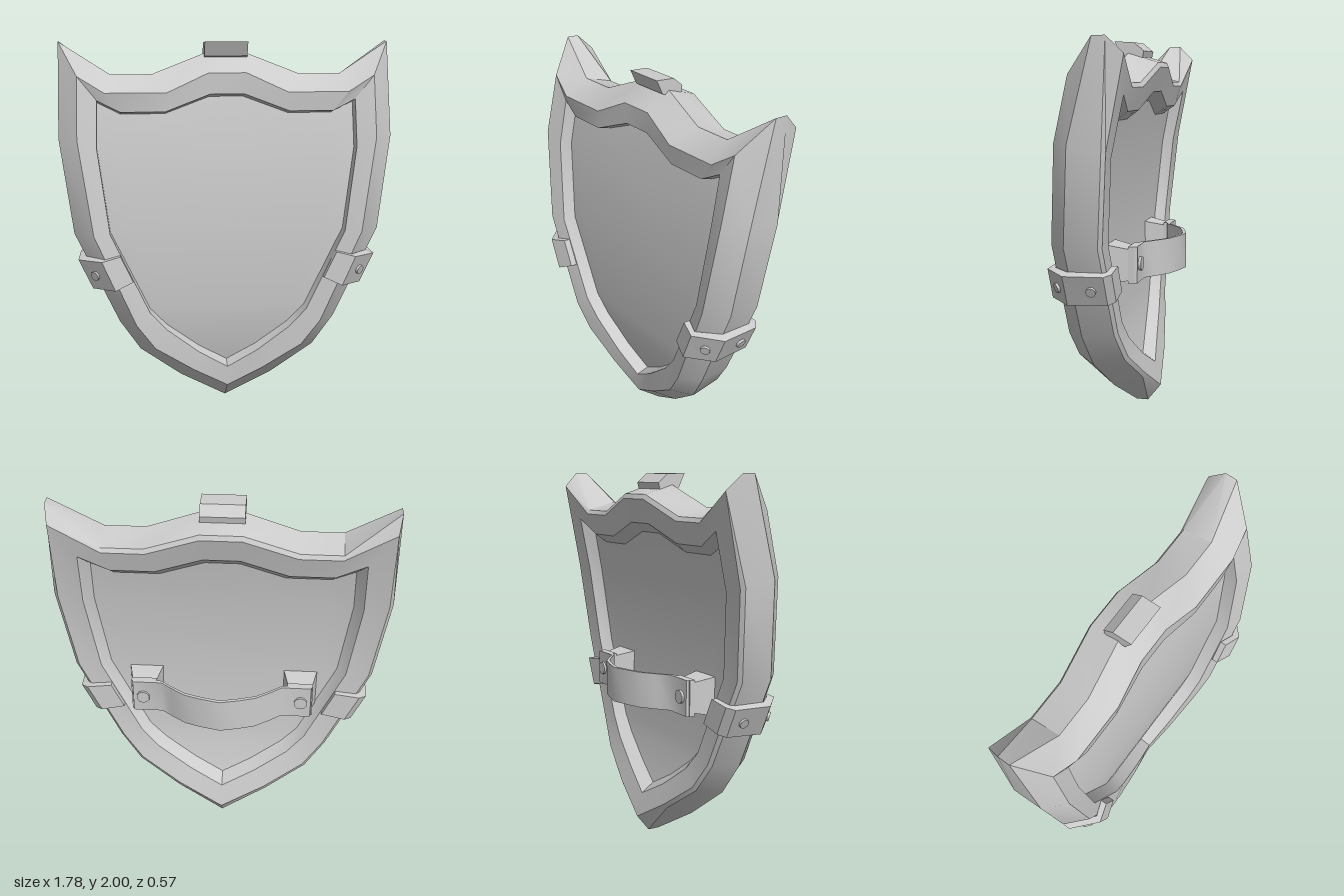
import * as THREE from 'three';
import { toCreasedNormals } from 'three/addons/utils/BufferGeometryUtils.js';

const V = (x, y, z) => new THREE.Vector3(x, y, z);
const material = new THREE.MeshStandardMaterial({ color: 0xcccccc });

// Bend of the shield over its height, and its slope
const bend = y => 0.155 - 0.165 * (y > 1 ? (y - 1) ** 2 : (1 - y) ** 3);
const slope = y => (y > 1 ? -0.33 * (y - 1) : 0.495 * (1 - y) ** 2);
const onBend = (p, d = 0) => V(p.x, p.y, bend(p.y) + d);
const push = (p, d) => p.clone().addScaledVector(V(0, -slope(p.y), 1).normalize(), d);

// Half outline, top middle to bottom tip: outer edge, crest, inner edge (x, y each)
const stations = [
  [0.11, 1.94, 0.10, 1.84, 0.09, 1.73],
  [0.395, 1.83, 0.32, 1.74, 0.33, 1.64],
  [0.615, 1.83, 0.645, 1.74, 0.565, 1.64],
  [0.885, 2.0, 0.785, 1.825, 0.685, 1.70],
  [0.89, 1.5, 0.79, 1.5, 0.69, 1.45],
  [0.82, 1.0, 0.715, 1.0, 0.63, 1.0],
  [0.59, 0.5, 0.50, 0.5, 0.425, 0.56],
  [0.48, 0.33, 0.40, 0.36, 0.335, 0.46],
  [0.255, 0.155, 0.19, 0.22, 0.16, 0.32],
  [0, 0, 0, 0.11, 0, 0.22],
];

// Rim cross-section at one station; the corner and the tip are cut off at the back
function section(s, side = 1) {
  const [o, c, a] = [0, 2, 4].map(i => V(side * s[i], s[i + 1], 0));
  const inner = onBend(a, 0.065);
  const sharp = s[0] === 0 || s[1] === 2;
  return [
    inner, onBend(c, 0.095), onBend(o),
    sharp ? onBend(o, -0.065) : push(onBend(o), -0.17),
    push(onBend(o.clone().lerp(a, 0.1)), sharp ? -0.165 : -0.188),
    push(onBend(o.clone().lerp(a, 0.75)), -0.185),
    push(inner, -0.195), push(inner, -0.075),
  ];
}

// Mesh from polygon faces; side -1 mirrors it in x
function facesMesh(name, faces, crease = 0.42, side = 1) {
  const pos = [];
  for (const face of faces) {
    const f = side < 0 ? [...face].reverse() : face;
    for (let i = 1; i < f.length - 1; i++)
      for (const p of [f[0], f[i], f[i + 1]]) pos.push(p.x * side, p.y, p.z);
  }
  const g = new THREE.BufferGeometry();
  g.setAttribute('position', new THREE.Float32BufferAttribute(pos, 3));
  return named(name, toCreasedNormals(g, crease));
}

function named(name, geometry) {
  const m = new THREE.Mesh(geometry, material);
  m.name = name;
  return m;
}

// Faces joining two closed cross-sections
const band = (s, t) => s.map((p, j) => {
  const k = (j + 1) % s.length;
  return [p, t[j], t[k], s[k]];
});

function bolt(name, p, normal, r = 0.026) {
  const b = named(name, toCreasedNormals(new THREE.CylinderGeometry(r, r, 0.025, 10), 0.7));
  b.position.copy(p);
  b.quaternion.setFromUnitVectors(V(0, 1, 0), normal);
  return b;
}

function rim() {
  const loop = [
    ...stations.map(s => section(s)),
    ...stations.slice(0, -1).reverse().map(s => section(s, -1)),
  ];
  return facesMesh('rim', loop.flatMap((s, i) => band(s, loop[(i + 1) % loop.length])));
}

// Curved sheet filling the rim, front (ring 7) and back (ring 6)
function panel() {
  const faces = [];
  for (const ring of [7, 6]) {
    const edge = stations.map(s => section(s)[ring]);
    const flip = p => V(-p.x, p.y, p.z);
    const top = [...edge.slice(0, 4).reverse().map(flip), ...edge.slice(0, 4)];
    const rows = [top, ...edge.slice(4).map(e => top.map(p => V(p.x / edge[3].x * e.x, e.y, e.z)))];
    for (let r = 0; r < rows.length - 1; r++)
      for (let c = 0; c < 7; c++) {
        const f = [rows[r][c], rows[r + 1][c], rows[r + 1][c + 1], rows[r][c + 1]];
        faces.push(ring === 7 ? f : f.reverse());
      }
  }
  return facesMesh('panel', faces);
}

// Band wrapped round the rim with two bolts
function clamp(side) {
  const g = new THREE.Group();
  g.name = side > 0 ? 'leftClamp' : 'rightClamp';
  const grow = [[0, 0.035], [0.015, 0.035], [0.04, 0.015], [0.035, -0.02], [0.015, -0.035], [0, -0.035]];
  const cut = t => {
    const s = stations[5].map((v, i) => THREE.MathUtils.lerp(v, stations[6][i], t));
    const core = section(s).slice(0, 6);
    const outer = core.map((p, i) => p.clone().add(V(grow[i][0], -grow[i][0] * 0.4, grow[i][1])));
    return [...outer, ...core.reverse()];
  };
  const a = cut(0.25), b = cut(0.57), faces = band(a, b);
  for (let k = 0; k < 5; k++) {
    faces.push([a[k], a[k + 1], a[10 - k], a[11 - k]]);
    faces.push([b[11 - k], b[10 - k], b[k + 1], b[k]]);
  }
  g.add(facesMesh('clampBand', faces, 0.3, side));
  for (const [k, u] of [[1, 0.55], [2, 0.65]]) {
    const p = a[k].clone().lerp(a[k + 1], u).lerp(b[k].clone().lerp(b[k + 1], u), 0.5);
    const n = b[k].clone().sub(a[k]).cross(a[k + 1].clone().sub(a[k])).normalize();
    p.x *= side;
    n.x *= side;
    g.add(bolt('clampBolt', p, n));
  }
  return g;
}

// Flared foot on the back of the panel with a plate that holds one strap end
function bracket(side) {
  const g = new THREE.Group();
  g.name = side > 0 ? 'leftBracket' : 'rightBracket';
  const foot = new THREE.BoxGeometry(0.13, 0.16, 0.14);
  const p = foot.attributes.position;
  for (let i = 0; i < p.count; i++)
    if (p.getZ(i) > 0) p.setXY(i, p.getX(i) * 1.5, p.getY(i) * 1.35);
  foot.computeVertexNormals();
  const base = named('bracketFoot', foot);
  base.position.set(side * 0.43, 0.87, -0.02);
  const plate = named('bracketPlate', new THREE.BoxGeometry(0.14, 0.19, 0.03));
  plate.position.set(side * 0.43, 0.87, -0.1);
  g.add(base, plate, bolt('strapBolt', V(side * 0.435, 0.87, -0.131), V(0, 0, -1), 0.036));
  return g;
}

// Arched arm strap
function strap() {
  const half = [[0.49, 0.13], [0.33, 0.13], [0.27, 0.178], [0.19, 0.235], [0.1, 0.264]];
  const path = [...half.map(([x, d]) => [-x, d]), [0, 0.288], ...[...half].reverse()];
  const outline = [...path, ...[...path].reverse().map(([x, d]) => [x * 1.01, d - 0.02])];
  const shape = new THREE.Shape(outline.map(([x, d]) => new THREE.Vector2(x, d)));
  const geo = new THREE.ExtrudeGeometry(shape, { depth: 0.19, bevelEnabled: false });
  geo.rotateX(-Math.PI / 2).translate(0, 0.775, 0);
  return named('armStrap', toCreasedNormals(geo, 0.7));
}

// Slanted block on the top edge
function topBlock() {
  const side = [[-0.085, 2.0], [-0.05, 1.925], [0.06, 1.88], [0.075, 1.95], [0.02, 1.995]];
  const shape = new THREE.Shape(side.map(([z, y]) => new THREE.Vector2(z, y)));
  const geo = new THREE.ExtrudeGeometry(shape, { depth: 0.23, bevelEnabled: false });
  geo.rotateY(Math.PI / 2).translate(-0.115, 0, 0);
  return named('topBlock', geo);
}

export function createModel() {
  const shield = new THREE.Group();
  shield.name = 'shield';
  shield.add(rim(), panel(), strap(), topBlock());
  for (const side of [1, -1]) shield.add(clamp(side), bracket(side));
  return shield;
}
